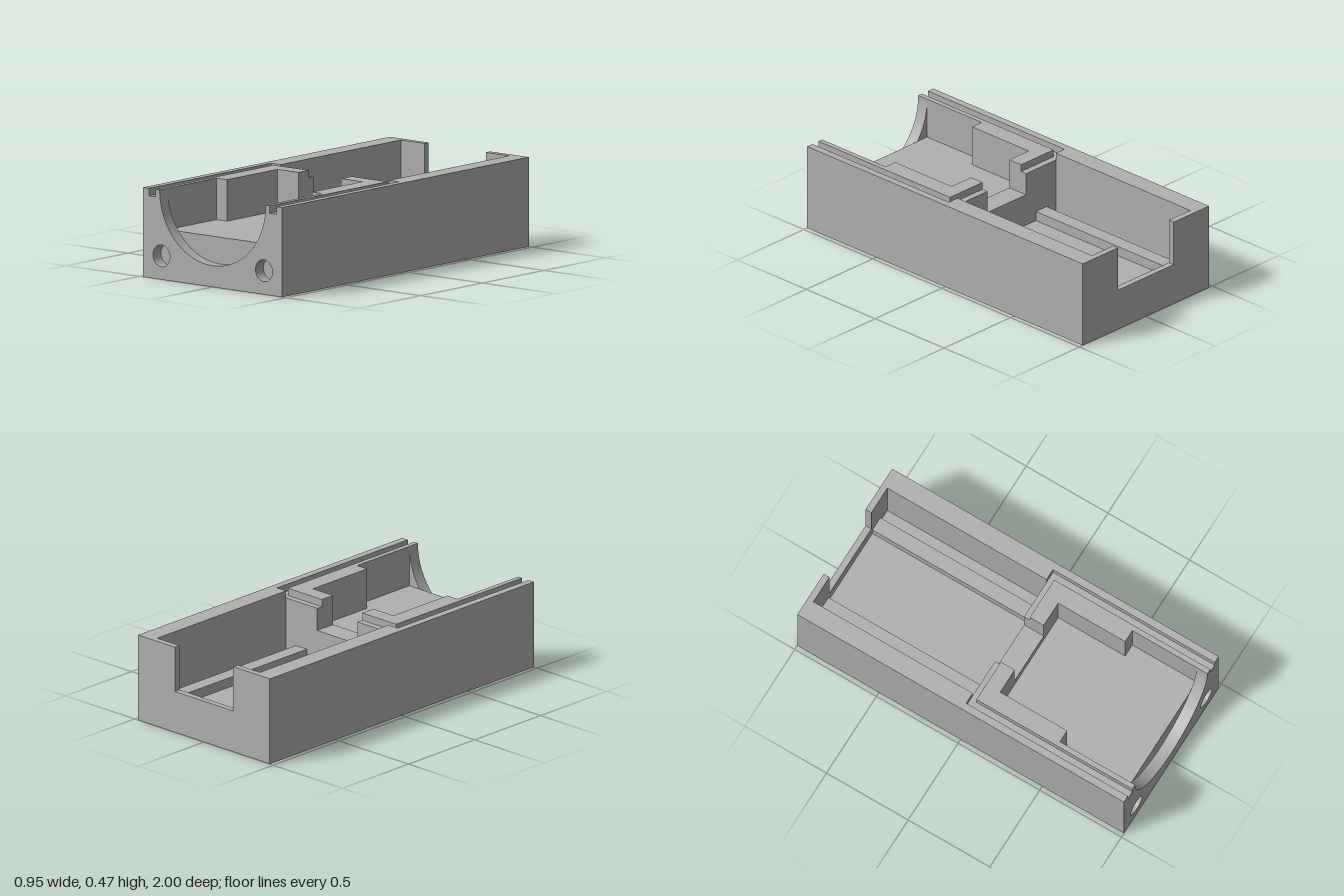
import * as THREE from 'three';
import { toCreasedNormals } from 'three/addons/utils/BufferGeometryUtils.js';

// Key dimensions
const W = 0.475, H = 0.475;        // half width, height
const PLATE = 0.935;               // inner face of the front end plate
const R = 0.362;                   // cradle radius, front chamber half width
const FLOOR = 0.135, SILL = 0.228, FRONT_FLOOR = 0.255, NECK = 0.312, GROOVE = 0.435;

export function createModel() {
  const model = new THREE.Group();
  model.name = 'housingHalf';
  const grey = new THREE.MeshStandardMaterial({ color: 0xb0b0b0 });
  grey.name = 'grey';

  const add = (name, geometry) => {
    const mesh = new THREE.Mesh(geometry, grey);
    mesh.name = name;
    model.add(mesh);
    return mesh;
  };

  // Plan outline of [x, z] points raised from y0 to y1
  const layer = (name, points, y0, y1, hole) => {
    const toV = (p) => new THREE.Vector2(p[0], -p[1]);
    const shape = new THREE.Shape(points.map(toV));
    if (hole) shape.holes.push(new THREE.Path(hole.map(toV)));
    const g = new THREE.ExtrudeGeometry(shape, { depth: y1 - y0, bevelEnabled: false });
    g.rotateX(-Math.PI / 2);
    g.translate(0, y0, 0);
    return add(name, g);
  };
  const mirror = (points) => points.map(([x, z]) => [-x, z]);
  const symmetric = (points) => [...points, ...mirror(points).reverse()];

  // Half outlines, from the back opening round to the front
  const backRecess = [[0.37, 0.01], [0.37, -0.965], [0.21, -0.965], [0.21, -1]];
  const outer = [[W, -1], [W, PLATE]];
  const frontRecess = [[R, PLATE], [R, 0.54], [0.29, 0.54], [0.29, 0.13]];

  // Base and the lower walls of the back chamber
  layer('base', symmetric(outer), 0, FLOOR);
  layer('lowerWalls', symmetric(outer), FLOOR, SILL,
    symmetric([[0.37, 0.01], [0.37, -0.965]]));
  layer('frontFloor', symmetric([...backRecess, ...outer]), SILL, FRONT_FLOOR);
  layer('neckSill', symmetric([...backRecess, ...outer, ...frontRecess]), FRONT_FLOOR, NECK);

  // Side walls, with a groove along the rim
  const wall = [...backRecess, ...outer, ...frontRecess, [0.145, 0.13], [0.145, 0.01]];
  const outerRim = [[0.435, 0.01], ...backRecess, ...outer, [0.435, PLATE]];
  const innerRim = [[0.39, PLATE], ...frontRecess, [0.145, 0.13], [0.145, 0.045], [0.39, 0.045]];
  for (const [side, place] of [['left', (p) => p], ['right', mirror]]) {
    layer(side + 'Wall', place(wall), NECK, GROOVE);
    layer(side + 'OuterRim', place(outerRim), GROOVE, H);
    layer(side + 'InnerRim', place(innerRim), GROOVE, H);
  }

  // Front end plate: round cradle, rim grooves and two blind holes
  const plate = new THREE.Shape();
  plate.moveTo(-W, 0);
  for (const [x, y] of [[W, 0], [W, H], [0.435, H], [0.435, GROOVE], [0.39, GROOVE], [0.39, H], [R, H]])
    plate.lineTo(x, y);
  plate.absarc(0, H, R, 0, -Math.PI, true);
  for (const [x, y] of [[-0.39, H], [-0.39, GROOVE], [-0.435, GROOVE], [-0.435, H], [-W, H]])
    plate.lineTo(x, y);
  for (const x of [-0.35, 0.35]) {
    const hole = new THREE.Path();
    hole.absarc(x, 0.126, 0.058, 0, Math.PI * 2, true);
    plate.holes.push(hole);
  }
  const plateGeometry = new THREE.ExtrudeGeometry(plate,
    { depth: 1 - PLATE, bevelEnabled: false, curveSegments: 40 });
  plateGeometry.translate(0, 0, PLATE);
  add('frontPlate', toCreasedNormals(plateGeometry, 0.5));

  // Two rails along the floor of the back chamber
  for (const s of [-1, 1]) {
    const rail = add(s > 0 ? 'leftRail' : 'rightRail',
      new THREE.BoxGeometry(0.08, 0.188 - FLOOR, 0.975));
    rail.position.set(s * 0.26, (FLOOR + 0.188) / 2, -0.4775);
  }
  return model;
}
